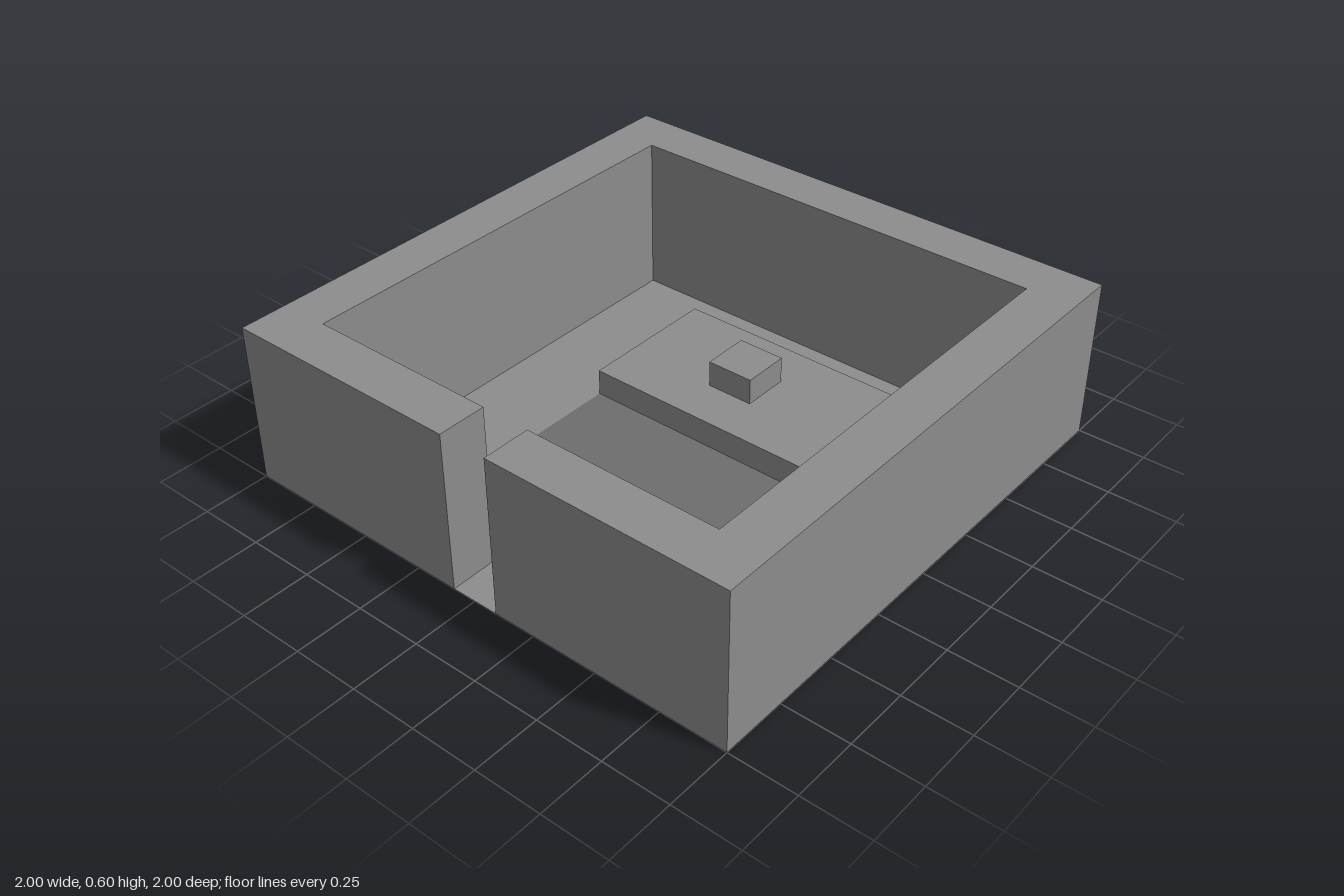
import * as THREE from 'three';

const U = 1 / 11; // plan module: the plan is 22 modules wide
const WALL_TOP = 0.6, PLINTH_TOP = 0.1, BLOCK_TOP = 0.2;

const stone = new THREE.MeshStandardMaterial({ color: 0x8d8d8d, side: THREE.DoubleSide });
const darkStone = new THREE.MeshStandardMaterial({ color: 0x6e6e6e, side: THREE.DoubleSide });

// Counter-clockwise plan outlines, in modules
const plan = (pts) => pts.map(([x, y]) => new THREE.Vector2(x * U, y * U));
const rect = (x0, x1, h) => plan([[x0, -h], [x1, -h], [x1, h], [x0, h]]);

// Horizontal surface at height y
function slab(name, outline, y, holes = [], material = stone) {
  const shape = new THREE.Shape(outline);
  shape.holes = holes.map((h) => new THREE.Path(h));
  const geo = new THREE.ShapeGeometry(shape).rotateX(-Math.PI / 2).translate(0, y, 0);
  const mesh = new THREE.Mesh(geo, material);
  mesh.name = name;
  return mesh;
}

// Vertical faces around an outline, open at top and bottom
function skirt(name, outline, y0, y1) {
  const pos = [];
  outline.forEach((a, i) => {
    const b = outline[(i + 1) % outline.length];
    for (const [p, y] of [[a, y0], [b, y0], [b, y1], [a, y0], [b, y1], [a, y1]]) pos.push(p.x, y, -p.y);
  });
  const geo = new THREE.BufferGeometry();
  geo.setAttribute('position', new THREE.Float32BufferAttribute(pos, 3));
  geo.computeVertexNormals();
  const mesh = new THREE.Mesh(geo, stone);
  mesh.name = name;
  return mesh;
}

function part(name, ...meshes) {
  const group = new THREE.Group();
  group.name = name;
  group.add(...meshes);
  return group;
}

export function createModel() {
  // Enclosing wall with a doorway slot in the -x side
  const wall = plan([
    [-11, -11], [11, -11], [11, 11], [-11, 11], [-11, 1], [-9, 1],
    [-9, 9], [9, 9], [9, -9], [-9, -9], [-9, -1], [-11, -1],
  ]);
  // Courtyard floor running out through the doorway
  const yard = plan([
    [-9, -9], [9, -9], [9, 9], [-9, 9], [-9, 1], [-11, 1], [-11, -1], [-9, -1],
  ]);
  const plinth = rect(1, 7, 5);
  const block = rect(3, 5, 1);

  return part('courtyard',
    part('wall', skirt('wallSides', wall, 0, WALL_TOP), slab('wallTop', wall, WALL_TOP)),
    slab('floor', yard, 0, [rect(-5, 7, 5)]),
    slab('darkFloorPanel', rect(-5, 1, 5), 0, [], darkStone),
    part('plinth', skirt('plinthSides', plinth, 0, PLINTH_TOP), slab('plinthTop', plinth, PLINTH_TOP, [block])),
    part('block', skirt('blockSides', block, PLINTH_TOP, BLOCK_TOP), slab('blockTop', block, BLOCK_TOP)));
}
